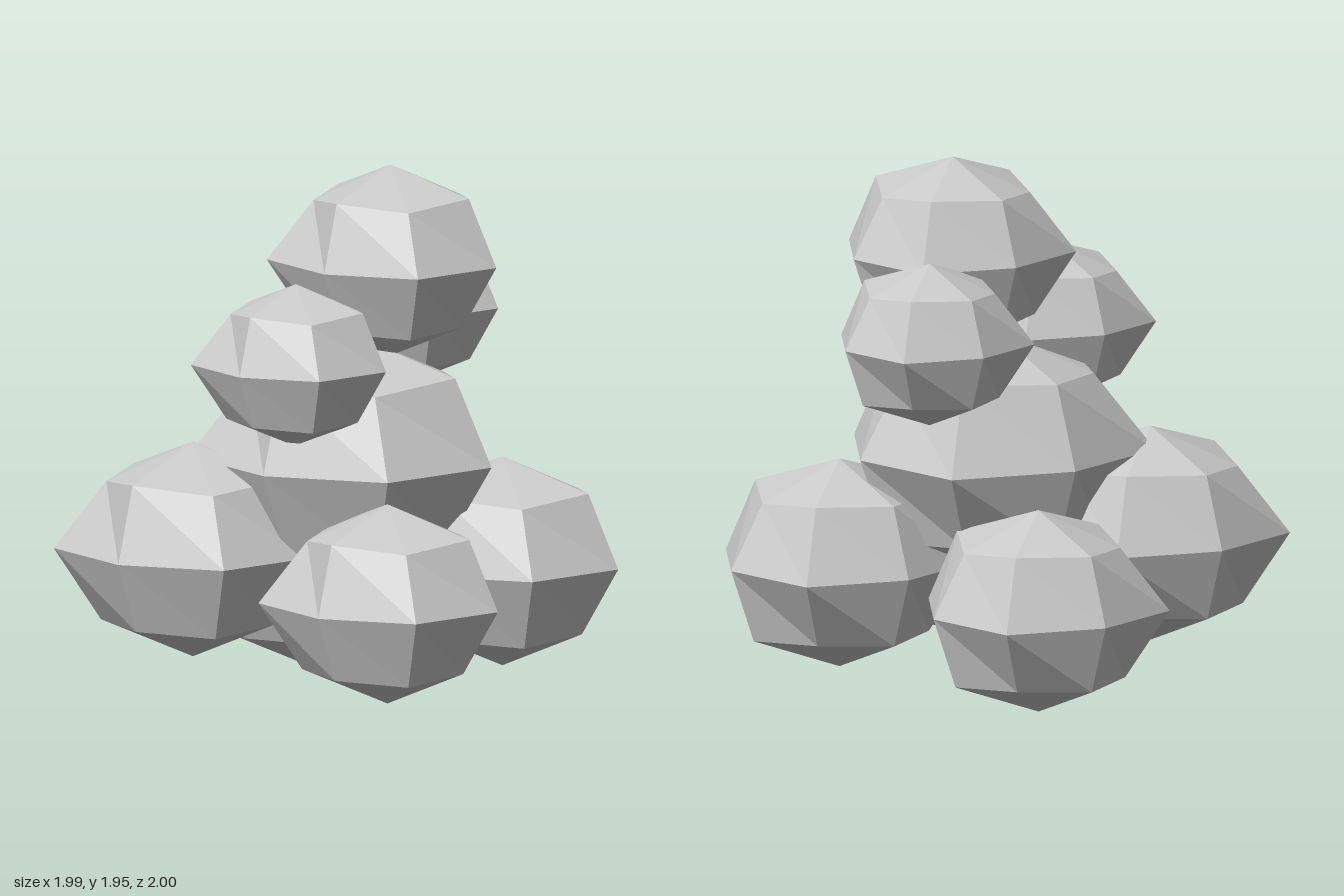
import * as THREE from 'three';

// Radial irregularity of the boulder, ring by ring (7 sides, starting at +x)
const RINGS = [
  [1.08, 1.08, 1.08, 1.08, 1.08, 1.08, 1.08],
  [0.96, 1.07, 1.03, 0.96, 1.09, 0.95, 1.08],
  [0.955, 1.055, 0.93, 1.09, 0.95, 1.035, 1.03],
  [1.07, 1.0, 1.04, 1.02, 1.02, 1.07, 1.0],
  [1.1, 1.1, 1.1, 1.1, 1.1, 1.1, 1.1],
];

// Name, centre x, y, z and horizontal radius
const BOULDERS = [
  ['topBoulder', 0.14, 1.605, 0.06, 0.415],
  ['middleBoulder', 0.02, 0.87, -0.02, 0.535],
  ['upperRightBoulder', -0.32, 1.275, 0.21, 0.353],
  ['upperLeftBoulder', 0.415, 1.36, -0.35, 0.353],
  ['lowerRightBoulder', -0.54, 0.545, -0.195, 0.467],
  ['lowerLeftBoulder', 0.56, 0.465, 0.135, 0.454],
  ['frontBoulder', -0.12, 0.43, 0.56, 0.433],
  ['backBoulder', 0.09, 0.385, -0.6, 0.44],
];

// Low-poly sphere with each vertex pushed in or out along its radius
function boulderGeometry() {
  const sphere = new THREE.SphereGeometry(1, 7, 4, Math.PI, Math.PI * 2);
  const pos = sphere.attributes.position;
  const v = new THREE.Vector3();
  for (let i = 0; i < pos.count; i++) {
    const ring = Math.floor(i / 8);
    v.fromBufferAttribute(pos, i).multiplyScalar(RINGS[ring][(i % 8) % 7]);
    pos.setXYZ(i, v.x, v.y, v.z);
  }
  const flat = sphere.toNonIndexed();
  flat.computeVertexNormals();
  return flat;
}

export function createModel() {
  const group = new THREE.Group();
  group.name = 'boulderPile';
  const stone = new THREE.MeshStandardMaterial({ color: 0xcacaca });
  stone.name = 'stoneGrey';
  stone.flatShading = true;
  const geometry = boulderGeometry();

  // Slightly flattened copies stacked into a pile
  for (const [name, x, y, z, r] of BOULDERS) {
    const boulder = new THREE.Mesh(geometry, stone);
    boulder.name = name;
    boulder.position.set(x, y, z);
    // The middle boulder's broader girth keeps the same height
    const girth = name === 'middleBoulder' ? 0.55 : r;
    boulder.scale.set(girth, r * 0.785, girth);
    group.add(boulder);
  }
  return group;
}
